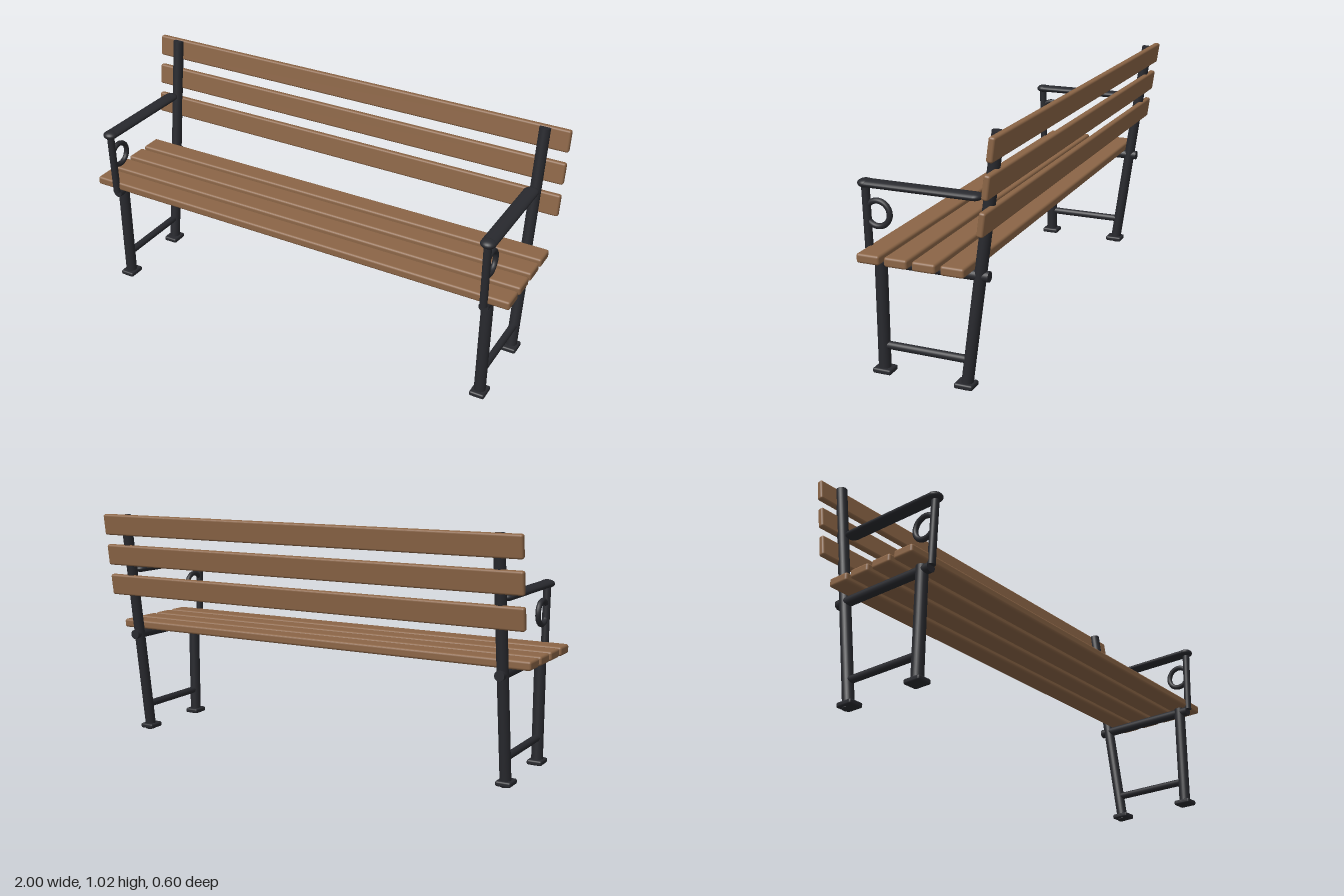
import * as THREE from 'three';
import { RoundedBoxGeometry } from 'three/addons/geometries/RoundedBoxGeometry.js';

const wood = new THREE.MeshStandardMaterial({ color: 0x8b6546 });
const iron = new THREE.MeshStandardMaterial({ color: 0x28292e });

function add(parent, name, geometry, material, x, y, z) {
  const mesh = new THREE.Mesh(geometry, material);
  mesh.name = name;
  mesh.position.set(x, y, z);
  parent.add(mesh);
  return mesh;
}

// Round bar in the side plane, between two [y, z] points
function bar(parent, name, [y0, z0], [y1, z1], radius) {
  const length = Math.hypot(y1 - y0, z1 - z0);
  const geometry = new THREE.CylinderGeometry(radius, radius, length, 24);
  const mesh = add(parent, name, geometry, iron, 0, (y0 + y1) / 2, (z0 + z1) / 2);
  mesh.rotation.x = Math.atan2(z1 - z0, y1 - y0);
  return mesh;
}

function makeSideFrame(name) {
  const frame = new THREE.Group();
  frame.name = name;

  // Legs and rails
  bar(frame, 'frontLeg', [0.01, 0.219], [0.484, 0.219], 0.0245);
  bar(frame, 'backPost', [0.0035, -0.13], [1.015, -0.267], 0.0235);
  bar(frame, 'seatRail', [0.465, 0.264], [0.465, -0.229], 0.021);
  bar(frame, 'stretcher', [0.121, 0.219], [0.121, -0.146], 0.016);

  // Feet
  for (const [foot, z] of [['frontFoot', 0.219], ['backFoot', -0.127]]) {
    add(frame, foot, new RoundedBoxGeometry(0.066, 0.022, 0.078, 3, 0.008), iron, 0, 0.017, z);
  }

  // Armrest: flattened capsule on a slightly raked support
  bar(frame, 'armSupport', [0.473, 0.266], [0.765, 0.274], 0.016);
  const armrest = add(frame, 'armrest', new THREE.CapsuleGeometry(0.032, 0.435, 8, 24), iron, 0, 0.765, 0.044);
  armrest.rotation.x = Math.PI / 2;
  armrest.scale.z = 0.5;
  const knob = add(frame, 'armrestKnob', new THREE.SphereGeometry(0.032, 24, 16), iron, 0, 0.765, 0.272);
  knob.scale.set(1, 0.56, 0.97);

  // Decorative ring behind the arm support
  const ring = add(frame, 'ring', new THREE.TorusGeometry(0.05, 0.0115, 12, 40), iron, 0, 0.65, 0.225);
  ring.rotation.y = Math.PI / 2;
  return frame;
}

export function createModel() {
  const bench = new THREE.Group();
  bench.name = 'bench';

  // Two identical iron frames
  for (const [name, x] of [['leftFrame', 0.895], ['rightFrame', -0.895]]) {
    const frame = makeSideFrame(name);
    frame.position.x = x;
    bench.add(frame);
  }

  // Seat slats
  const seatSlat = new RoundedBoxGeometry(2, 0.038, 0.095, 3, 0.01);
  for (let i = 0; i < 4; i++) {
    add(bench, `seatSlat${i + 1}`, seatSlat, wood, 0, 0.503, 0.218 - i * 0.1147);
  }

  // Backrest slats, following the lean of the posts
  const backSlat = new RoundedBoxGeometry(2, 0.094, 0.027, 3, 0.009);
  for (let i = 0; i < 3; i++) {
    const slat = add(bench, `backSlat${i + 1}`, backSlat, wood, 0, 0.695 + i * 0.138, -0.242 - i * 0.02);
    slat.rotation.x = -0.135;
  }
  return bench;
}
